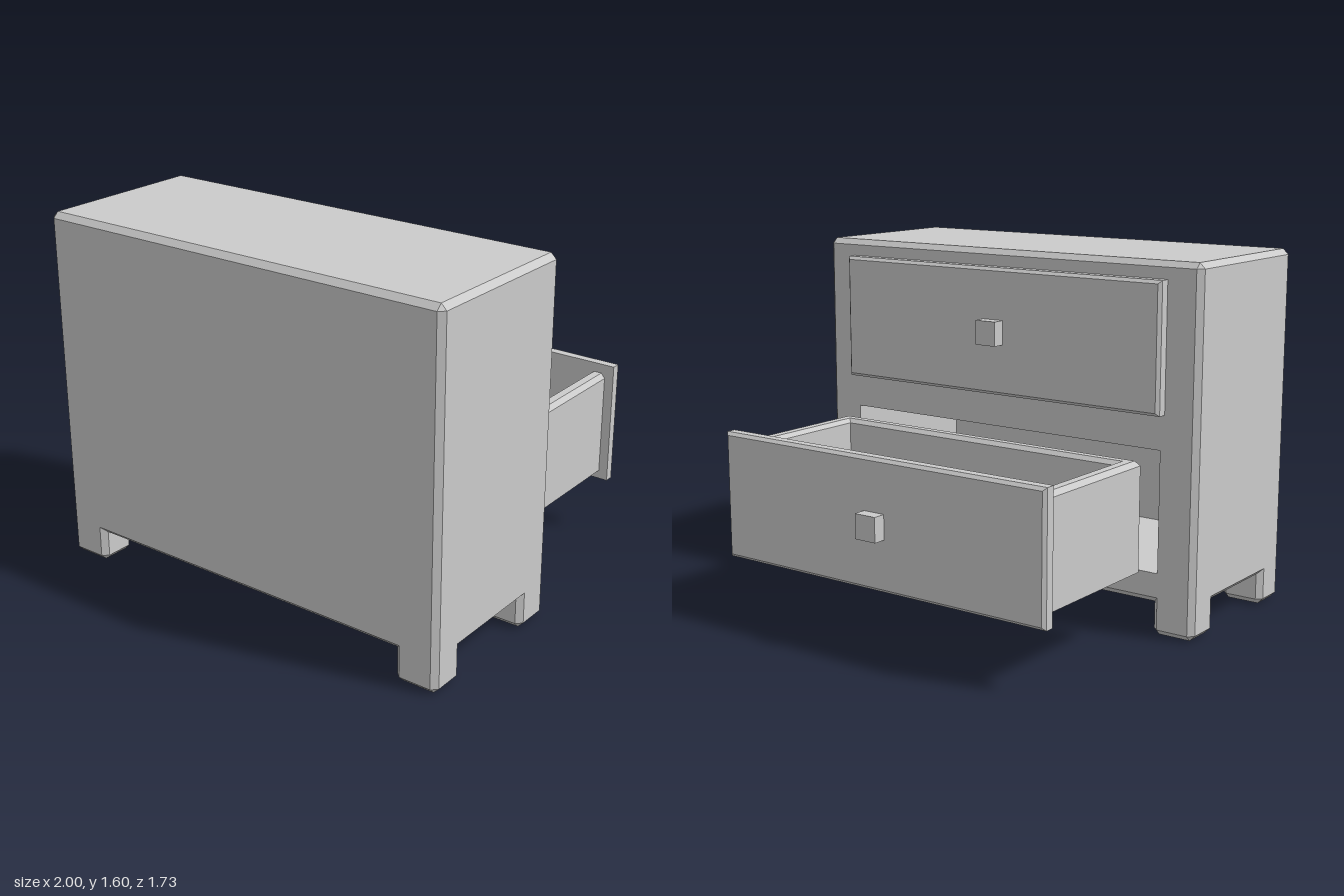
import * as THREE from 'three';
import { ConvexGeometry } from 'three/addons/geometries/ConvexGeometry.js';

const mat = new THREE.MeshStandardMaterial({ color: 0xcccccc, flatShading: true });
const matDouble = new THREE.MeshStandardMaterial({ color: 0xcccccc, flatShading: true, side: THREE.DoubleSide });
const C = 0.025; // chamfer width

function part(name, geometry, material = mat) {
  const mesh = new THREE.Mesh(geometry, material);
  mesh.name = name;
  return mesh;
}

// Box between two corners with every edge chamfered; squareTop keeps the top edges sharp.
function chamferBox(x0, x1, y0, y1, z0, z1, c, squareTop = false) {
  const pts = [];
  for (const [x, sx] of [[x0, 1], [x1, -1]])
    for (const [y, sy] of [[y0, 1], [y1, -1]])
      for (const [z, sz] of [[z0, 1], [z1, -1]]) {
        const cy = squareTop && sy < 0 ? 0 : c * sy;
        pts.push(
          new THREE.Vector3(x, y + cy, z + c * sz),
          new THREE.Vector3(x + c * sx, y + cy, z));
        if (cy) pts.push(new THREE.Vector3(x + c * sx, y, z + c * sz));
      }
  return new ConvexGeometry(pts);
}

// Drop the triangles lying in the plane z = value, leaving that side open.
function openSide(geometry, value) {
  const p = geometry.getAttribute('position');
  const keep = [];
  for (let i = 0; i < p.count; i += 3) {
    if ([0, 1, 2].every(k => Math.abs(p.getZ(i + k) - value) < 1e-4)) continue;
    for (let k = 0; k < 3; k++) keep.push(p.getX(i + k), p.getY(i + k), p.getZ(i + k));
  }
  const g = new THREE.BufferGeometry();
  g.setAttribute('position', new THREE.Float32BufferAttribute(keep, 3));
  g.computeVertexNormals();
  return g;
}

function rectPath(path, x, y0, y1) {
  path.moveTo(-x, y0);
  path.lineTo(x, y0);
  path.lineTo(x, y1);
  path.lineTo(-x, y1);
  path.closePath();
  return path;
}

// Open-topped drawer tray: rectangular loops running up the outside and down the inside.
function trayGeometry() {
  const loops = [ // half width, rear z, height
    [0.8, 0.7, 0.305], [0.8, 0.7, 0.763], [0.782, 0.682, 0.785],
    [0.745, 0.648, 0.785], [0.728, 0.63, 0.767], [0.728, 0.63, 0.36]];
  const pos = [], idx = [];
  for (const [x, z, y] of loops) pos.push(-x, y, z, x, y, z, x, y, 0, -x, y, 0);
  for (let r = 0; r < loops.length - 1; r++)
    for (let i = 0; i < 4; i++) {
      const a = r * 4 + i, b = r * 4 + (i + 1) % 4;
      idx.push(a, b, b + 4, a, b + 4, a + 4);
    }
  const n = (loops.length - 1) * 4;
  idx.push(0, 2, 1, 0, 3, 2, n, n + 1, n + 2, n, n + 2, n + 3);
  const g = new THREE.BufferGeometry();
  g.setAttribute('position', new THREE.Float32BufferAttribute(pos, 3));
  g.setIndex(idx);
  const flat = g.toNonIndexed();
  flat.computeVertexNormals();
  return flat;
}

function makeDrawer(name, y, z) {
  const drawer = new THREE.Group();
  drawer.name = name;
  drawer.add(part('drawerTray', trayGeometry()));

  // Front panel, chamfered around its outer face only
  const pts = [];
  for (const [inset, pz] of [[0, 0], [0, -0.041], [0.014, -0.055]])
    for (const sx of [-1, 1])
      for (const py of [0.265 + inset, 0.828 - inset])
        pts.push(new THREE.Vector3(sx * (0.843 - inset), py, pz));
  drawer.add(part('drawerFront', new ConvexGeometry(pts)));

  const knob = part('knob', new THREE.BoxGeometry(0.105, 0.108, 0.06));
  knob.position.set(0, 0.546, -0.082);
  drawer.add(knob);
  drawer.position.set(0, y, z);
  return drawer;
}

export function createModel() {
  const model = new THREE.Group();
  model.name = 'chestOfDrawers';
  const z0 = 0.062, z1 = 0.862, base = 0.143, top = 1.6;
  const openings = [[0.275, 0.81], [0.972, 1.507]];
  const holeX = 0.825, cavityEnd = 0.81;

  // Carcass shell, closed by a face frame with two drawer openings
  model.add(part('carcass', openSide(chamferBox(-1, 1, base, top, z0, z1, C), z0)));
  const frame = rectPath(new THREE.Shape(), 1 - C, base + C, top - C);
  for (const [a, b] of openings) frame.holes.push(rectPath(new THREE.Path(), holeX, a, b));
  const frameGeo = new THREE.ShapeGeometry(frame);
  frameGeo.rotateY(Math.PI).translate(0, 0, z0);
  model.add(part('faceFrame', frameGeo));

  // Drawer compartments, open towards the face frame
  for (const [a, b] of openings) {
    const g = new THREE.BoxGeometry(holeX * 2, b - a, cavityEnd - z0).toNonIndexed();
    g.translate(0, (a + b) / 2, (cavityEnd + z0) / 2);
    model.add(part('compartment', openSide(g, z0), matDouble));
  }

  // Four corner feet
  for (const [xa, xb] of [[-1, -0.802], [0.802, 1]])
    for (const [za, zb] of [[z0, 0.243], [0.69, z1]])
      model.add(part('foot', chamferBox(xa, xb, 0, base + C, za, zb, C, true)));

  // Lower drawer pulled out, upper drawer closed
  model.add(makeDrawer('lowerDrawer', 0, -0.752));
  model.add(makeDrawer('upperDrawer', 0.697, z0));
  return model;
}
